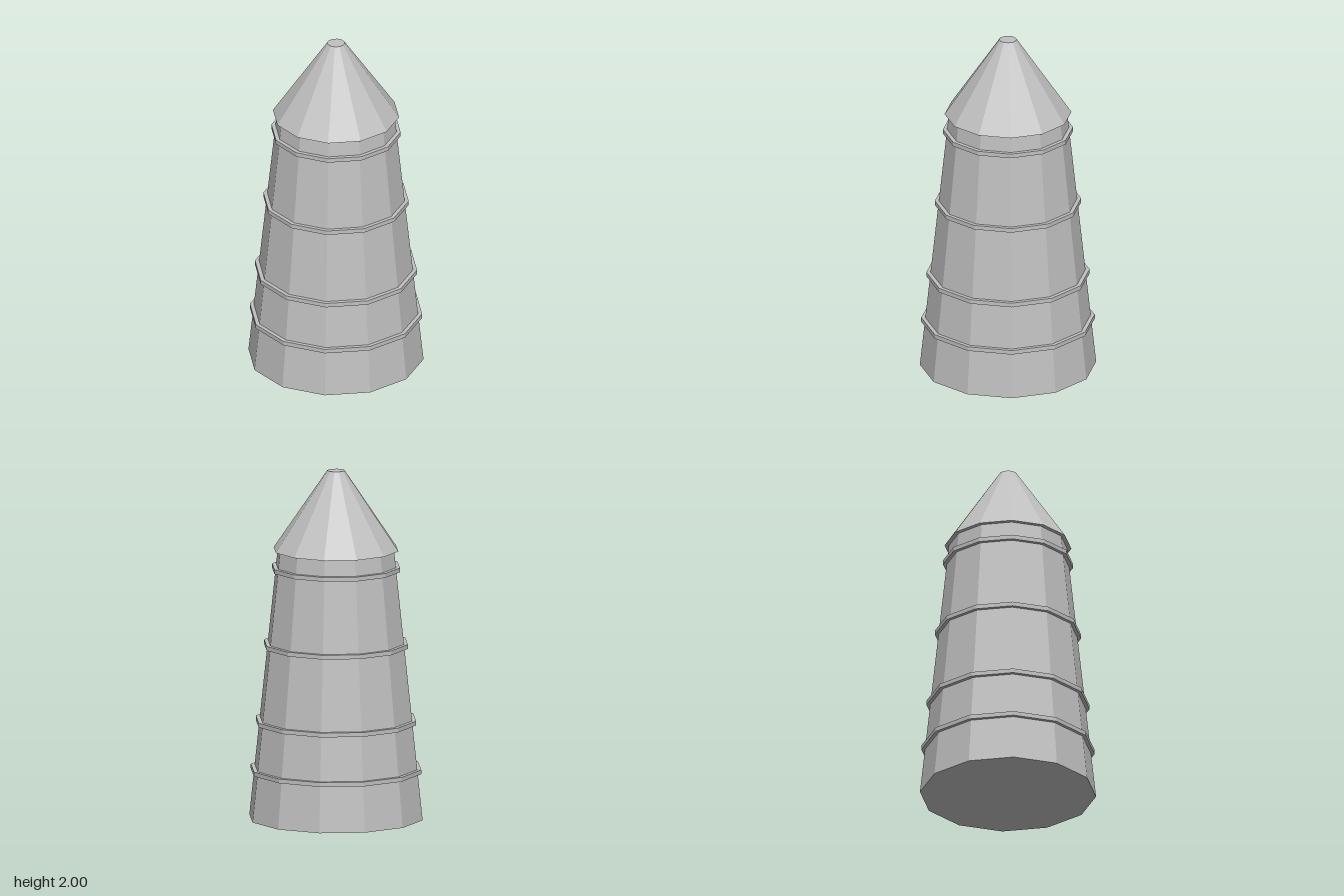
import * as THREE from 'three';

const SIDES = 12;

export function createModel() {
  const group = new THREE.Group();
  const stone = new THREE.MeshStandardMaterial({ color: 0xc0c0c0, flatShading: true });

  // Twelve-sided tapered section between two heights
  const section = (name, rBottom, rTop, y0, y1) => {
    const geometry = new THREE.CylinderGeometry(rTop, rBottom, y1 - y0, SIDES);
    const mesh = new THREE.Mesh(geometry, stone);
    mesh.name = name;
    mesh.position.y = (y0 + y1) / 2;
    group.add(mesh);
  };

  // Tapered tower and its overhanging, blunt-tipped roof
  section('towerBody', 0.5, 0.335, 0, 1.55);
  section('roof', 0.36, 0.05, 1.545, 2);

  // Thin bands around the tower: centre height and radius
  [[0.278, 0.492], [0.558, 0.463], [0.998, 0.415], [1.438, 0.369]].forEach(([y, r], i) =>
    section(`band${i + 1}`, r, r, y - 0.0125, y + 0.0125));

  return group;
}
